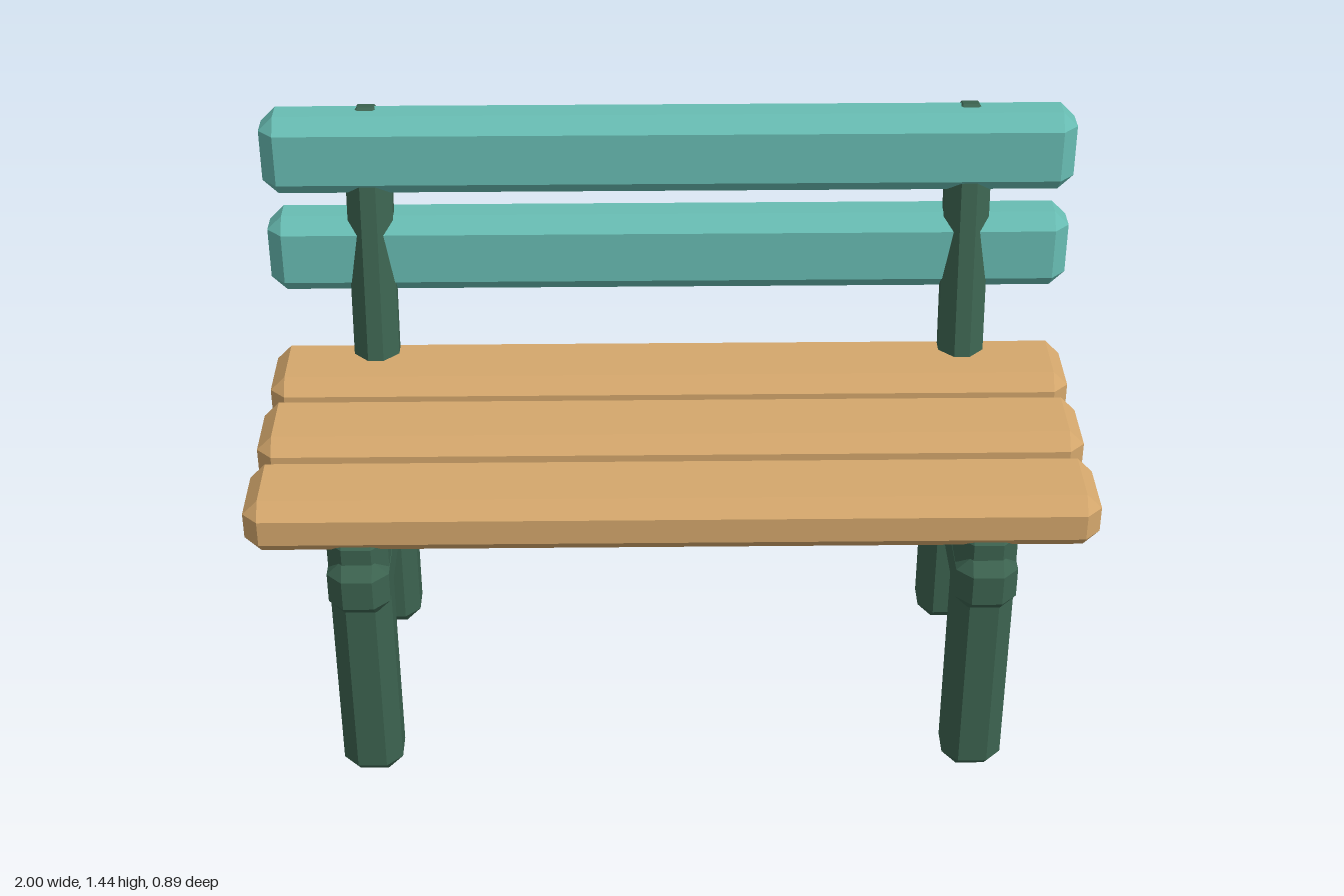
import * as THREE from 'three';
import { ConvexGeometry } from 'three/addons/geometries/ConvexGeometry.js';

// Box with every edge and corner cut off by c
function chamferBox(w, h, d, c = 0.037) {
  const points = [];
  const half = [w / 2, h / 2, d / 2];
  for (const sx of [-1, 1]) for (const sy of [-1, 1]) for (const sz of [-1, 1]) {
    for (let axis = 0; axis < 3; axis++) {
      const p = half.map((v, i) => (i === axis ? v : v - c));
      points.push(new THREE.Vector3(sx * p[0], sy * p[1], sz * p[2]));
    }
  }
  return new ConvexGeometry(points);
}

export function createModel() {
  const bench = new THREE.Group();
  bench.name = 'bench';

  const flat = (name, color) => {
    const m = new THREE.MeshStandardMaterial({ color });
    m.name = name;
    return m;
  };
  const wood = flat('warm wood', 0xd4a76c);
  const teal = flat('teal paint', 0x68bdb3);
  const green = flat('dark green frame', 0x3c6350);

  const add = (name, geometry, material, x, y, z) => {
    const mesh = new THREE.Mesh(geometry, material);
    mesh.name = name;
    mesh.position.set(x, y, z);
    bench.add(mesh);
    return mesh;
  };

  // Seat slats
  const seatSlat = chamferBox(2, 0.138, 0.23);
  for (const z of [0.318, 0.04, -0.238]) add('seatSlat', seatSlat, wood, 0, 0.74, z);

  // Backrest slats
  const backSlat = chamferBox(2, 0.206, 0.134);
  for (const y of [1.064, 1.334]) add('backSlat', backSlat, teal, 0, y, -0.37);

  // Frame on each side: two legs, a rail and a leaning post
  const leg = chamferBox(0.144, 0.72, 0.144);
  const rail = chamferBox(0.146, 0.15, 0.82);
  const post = chamferBox(0.113, 0.755, 0.108);
  for (const [side, s] of [['left', 1], ['right', -1]]) {
    const x = s * 0.741;
    add(side + 'FrontLeg', leg, green, x, 0.36, 0.348);
    add(side + 'BackLeg', leg, green, x, 0.36, -0.27);
    add(side + 'Rail', rail, green, x, 0.573, 0.04);
    add(side + 'BackPost', post, green, x, 1.067, -0.334).rotation.x = -0.165;
  }

  return bench;
}
